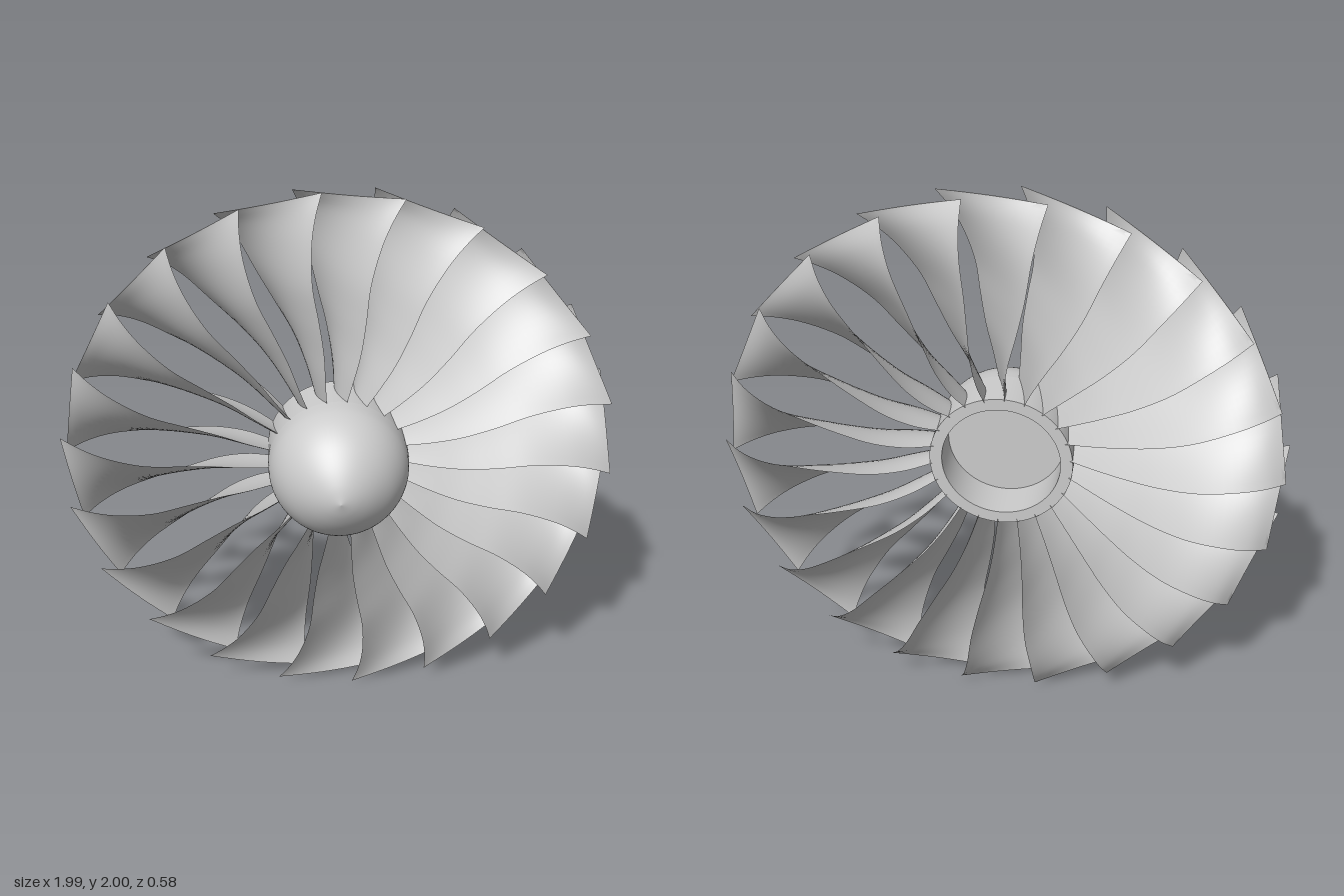
import * as THREE from 'three';
import { toCreasedNormals } from 'three/addons/utils/BufferGeometryUtils.js';

const BLADES = 22;
const CENTER_Y = 1;
const deg = THREE.MathUtils.degToRad;

// Blade stations from root to tip:
// radius, leading edge angle, angular width, leading z, trailing z
const STATIONS = [
  [0.235, 7.0, 9, 0.0, -0.16],
  [0.34, 4.6, 12, 0.02, -0.222],
  [0.45, 3.4, 14.8, 0.025, -0.265],
  [0.57, 3.7, 16.4, 0.022, -0.286],
  [0.70, 4.2, 16.9, 0.009, -0.288],
  [0.84, 3.0, 18.2, -0.019, -0.262],
  [0.93, 1.5, 20.1, -0.043, -0.219],
  [1.0, 0, 22.2, -0.065, -0.16],
];

function polar(radius, angle, z) {
  return new THREE.Vector3(radius * Math.cos(deg(angle)), radius * Math.sin(deg(angle)), z);
}

// Twisted, cambered blade skinned through closed, sharp-edged sections
function bladeGeometry() {
  const leading = new THREE.CatmullRomCurve3(STATIONS.map(([r, a, , z]) => polar(r, a, z)));
  const trailing = new THREE.CatmullRomCurve3(
    STATIONS.map(([r, a, w, , z]) => polar(r * 0.99, a + w, z)));
  const rows = 32, chordSteps = 12, loop = chordSteps * 2;
  const positions = [], indices = [];

  for (let i = 0; i <= rows + 1; i++) {
    const t = Math.min(i / rows, 1);
    const a = leading.getPoint(t), b = trailing.getPoint(t);
    const chord = b.clone().sub(a);
    const radial = a.clone().add(b).setZ(0).normalize();
    const normal = radial.clone().cross(chord).normalize();
    const camber = chord.length() * THREE.MathUtils.lerp(0.06, 0.025, t);
    // the extra last row closes the tip
    const thickness = i > rows ? 0 : THREE.MathUtils.lerp(0.006, 0.002, t);
    for (let j = 0; j < loop; j++) {
      const front = j <= chordSteps;
      const s = (front ? j : loop - j) / chordSteps;
      const offset = (camber + (front ? thickness : -thickness)) * Math.sin(Math.PI * s);
      const p = a.clone().addScaledVector(chord, s).addScaledVector(normal, offset);
      positions.push(p.x, p.y, p.z);
    }
  }
  for (let i = 0; i <= rows; i++) {
    for (let j = 0; j < loop; j++) {
      const p = i * loop + j, q = i * loop + (j + 1) % loop;
      indices.push(p, p + loop, q, q, p + loop, q + loop);
    }
  }
  const geometry = new THREE.BufferGeometry();
  geometry.setAttribute('position', new THREE.Float32BufferAttribute(positions, 3));
  geometry.setIndex(indices);
  return toCreasedNormals(geometry, deg(50));
}

// Profile of [radius, z] pairs turned around the z axis
function turned(profile) {
  return new THREE.LatheGeometry(profile.map(([r, z]) => new THREE.Vector2(r, z)), 64)
    .rotateX(Math.PI / 2);
}

export function createModel() {
  const model = new THREE.Group();
  model.name = 'turbineFan';
  const material = new THREE.MeshStandardMaterial({ color: 0xcccccc, side: THREE.DoubleSide });

  const add = (name, geometry, parent) => {
    const mesh = new THREE.Mesh(geometry, material);
    mesh.name = name;
    parent.add(mesh);
    return mesh;
  };

  const rotor = new THREE.Group();
  rotor.name = 'rotor';
  rotor.position.y = CENTER_Y;
  model.add(rotor);

  // Rounded nose with a slight point
  const nose = new THREE.SplineCurve([
    [0.253, 0], [0.246, 0.06], [0.223, 0.122], [0.182, 0.182], [0.122, 0.236], [0.06, 0.272], [0, 0.291],
  ].map(([r, z]) => new THREE.Vector2(r, z)));
  add('spinner', turned(nose.getPoints(32).map((p) => [Math.max(p.x, 0), p.y])), rotor);

  // Hub drum, rear rim and recess, each with its own hard edge
  const hub = new THREE.Group();
  hub.name = 'hub';
  rotor.add(hub);
  add('hubDrum', turned([[0.253, -0.165], [0.253, 0]]), hub);
  add('rearRim', turned([[0.21, -0.165], [0.253, -0.165]]), hub);
  add('recessWall', turned([[0.21, -0.01], [0.21, -0.165]]), hub);
  add('recessFloor', turned([[0, -0.01], [0.21, -0.01]]), hub);

  // Ring of blades
  const blades = new THREE.Group();
  blades.name = 'blades';
  rotor.add(blades);
  const geometry = bladeGeometry();
  for (let i = 0; i < BLADES; i++) {
    add('blade', geometry, blades).rotation.z = deg(93.1) + (i * 2 * Math.PI) / BLADES;
  }
  return model;
}
